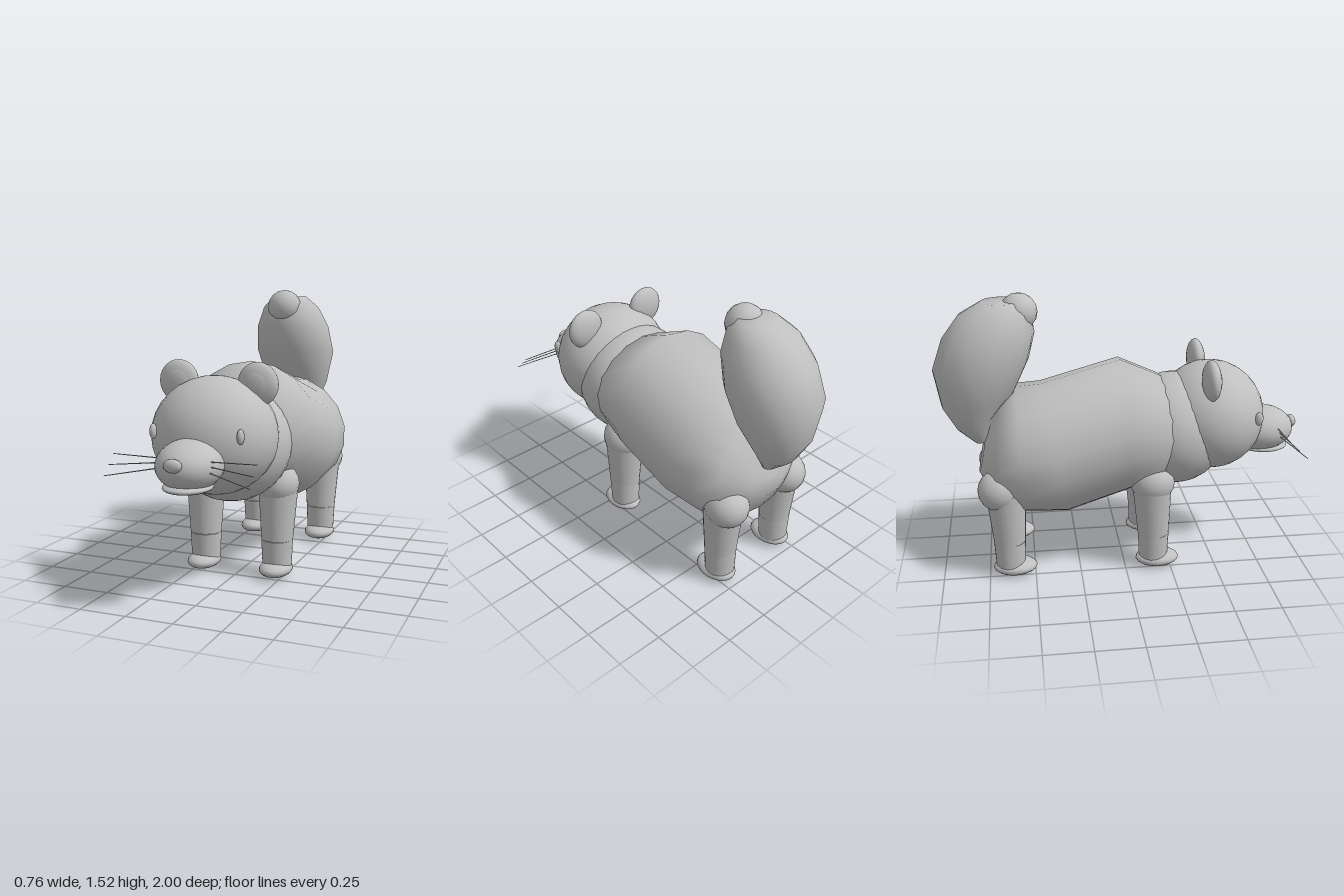
import * as THREE from 'three';

const gray = new THREE.MeshStandardMaterial({ color: 0xc0c0c0 });
gray.name = 'plain gray';

function add(parent, name, geometry) {
  const mesh = new THREE.Mesh(geometry, gray);
  mesh.name = name;
  parent.add(mesh);
  return mesh;
}

function ellipsoid(parent, name, [x, y, z], [rx, ry, rz], segments = 32) {
  const geometry = new THREE.SphereGeometry(1, segments, segments / 2);
  geometry.scale(rx, ry, rz);
  const mesh = add(parent, name, geometry);
  mesh.position.set(x, y, z);
  return mesh;
}

// Tapered rod between two points
function rod(parent, name, from, to, r0, r1, sides) {
  const a = new THREE.Vector3(...from), b = new THREE.Vector3(...to);
  const mesh = add(parent, name, new THREE.CylinderGeometry(r1, r0, a.distanceTo(b), sides));
  mesh.position.copy(a).lerp(b, 0.5);
  mesh.quaternion.setFromUnitVectors(new THREE.Vector3(0, 1, 0), b.sub(a).normalize());
  return mesh;
}

// Skin over tilted elliptical rings: [z, y] of one edge, [z, y] of the opposite edge, half width
function loft(rings, sides) {
  const positions = [], index = [];
  for (const [z0, y0, z1, y1, rx] of rings) {
    const cz = (z0 + z1) / 2, cy = (y0 + y1) / 2;
    for (let i = 0; i < sides; i++) {
      const t = (i / sides) * Math.PI * 2, c = Math.cos(t);
      positions.push(rx * Math.sin(t), cy + (y0 - cy) * c, cz + (z0 - cz) * c);
    }
  }
  const last = rings.length - 1, start = rings.length * sides, end = start + 1;
  for (const [z0, y0, z1, y1] of [rings[0], rings[last]]) {
    positions.push(0, (y0 + y1) / 2, (z0 + z1) / 2);
  }
  for (let i = 0; i < sides; i++) {
    const n = (i + 1) % sides;
    for (let j = 0; j < last; j++) {
      const a = j * sides + i, b = j * sides + n;
      index.push(a, b, a + sides, b, b + sides, a + sides);
    }
    index.push(start, n, i, end, last * sides + i, last * sides + n);
  }
  const geometry = new THREE.BufferGeometry();
  geometry.setAttribute('position', new THREE.Float32BufferAttribute(positions, 3));
  geometry.setIndex(index);
  geometry.computeVertexNormals();
  return geometry;
}

export function createModel() {
  const model = new THREE.Group();
  model.name = 'animal';

  // Faceted torso, front to back
  add(model, 'body', loft([
    [0.29, 1.01, 0.18, 0.46, 0.32],
    [0.0, 1.14, 0.03, 0.41, 0.385],
    [-0.435, 1.02, -0.3, 0.3, 0.385],
    [-0.57, 1.01, -0.55, 0.31, 0.38],
    [-0.67, 0.92, -0.71, 0.4, 0.3],
    [-0.745, 0.72, -0.785, 0.54, 0.13],
  ], 18));

  // Bushy upright tail, bottom to top, with a round tip
  add(model, 'tail', loft([
    [-0.73, 0.72, -0.8, 0.71, 0.06],
    [-0.69, 0.86, -0.89, 0.79, 0.13],
    [-0.57, 1.0, -0.965, 0.92, 0.19],
    [-0.49, 1.17, -1.0, 1.12, 0.235],
    [-0.455, 1.31, -0.94, 1.29, 0.215],
    [-0.47, 1.42, -0.85, 1.41, 0.165],
    [-0.52, 1.48, -0.73, 1.48, 0.1],
  ], 18));
  ellipsoid(model, 'tailTip', [0, 1.42, -0.535], [0.1, 0.1, 0.1], 16);

  // Neck and head
  ellipsoid(model, 'neck', [0, 0.74, 0.3], [0.325, 0.31, 0.3]);
  const head = new THREE.Group();
  head.name = 'head';
  model.add(head);
  ellipsoid(head, 'skull', [0, 0.81, 0.5], [0.325, 0.3, 0.3]);
  ellipsoid(head, 'snout', [0, 0.715, 0.79], [0.163, 0.125, 0.19]);
  ellipsoid(head, 'mouth', [0, 0.613, 0.815], [0.12, 0.028, 0.14]);
  ellipsoid(head, 'nose', [0, 0.743, 0.975], [0.048, 0.033, 0.025], 16);

  for (const [side, s] of [['left', 1], ['right', -1]]) {
    ellipsoid(head, side + 'Ear', [s * 0.215, 1.07, 0.458], [0.108, 0.11, 0.049], 24);
    ellipsoid(head, side + 'InnerEar', [s * 0.213, 1.068, 0.482], [0.075, 0.078, 0.028], 24);
    ellipsoid(head, side + 'Eye', [s * 0.23, 0.85, 0.722], [0.018, 0.038, 0.023], 16);
    // Whiskers: start y, start z, end y, end z
    for (const [y0, z0, y1, z1] of [
      [0.75, 0.86, 0.755, 0.865], [0.73, 0.865, 0.71, 0.912], [0.705, 0.87, 0.665, 0.96],
    ]) {
      rod(head, side + 'Whisker', [s * 0.12, y0, z0], [s * 0.37, y1, z1], 0.003, 0.002, 6);
    }

    // Legs: x and z of joint, z of shank top, ankle and foot
    for (const [end, x, zj, zt, za, zf] of [
      ['Front', 0.21, 0.15, 0.147, 0.158, 0.18], ['Hind', 0.215, -0.672, -0.645, -0.635, -0.61],
    ]) {
      const leg = new THREE.Group();
      leg.name = side + end + 'Leg';
      model.add(leg);
      ellipsoid(leg, 'joint', [s * x, 0.505, zj], [0.115, 0.115, 0.122], 20);
      rod(leg, 'upperLeg', [s * 0.21, 0.2, za], [s * 0.212, 0.5, zt], 0.086, 0.108, 24);
      rod(leg, 'lowerLeg', [s * 0.21, 0.05, za], [s * 0.21, 0.2, za], 0.079, 0.086, 24);
      ellipsoid(leg, 'foot', [s * 0.212, 0.043, zf], [0.088, 0.043, 0.12], 20);
    }
  }
  return model;
}
